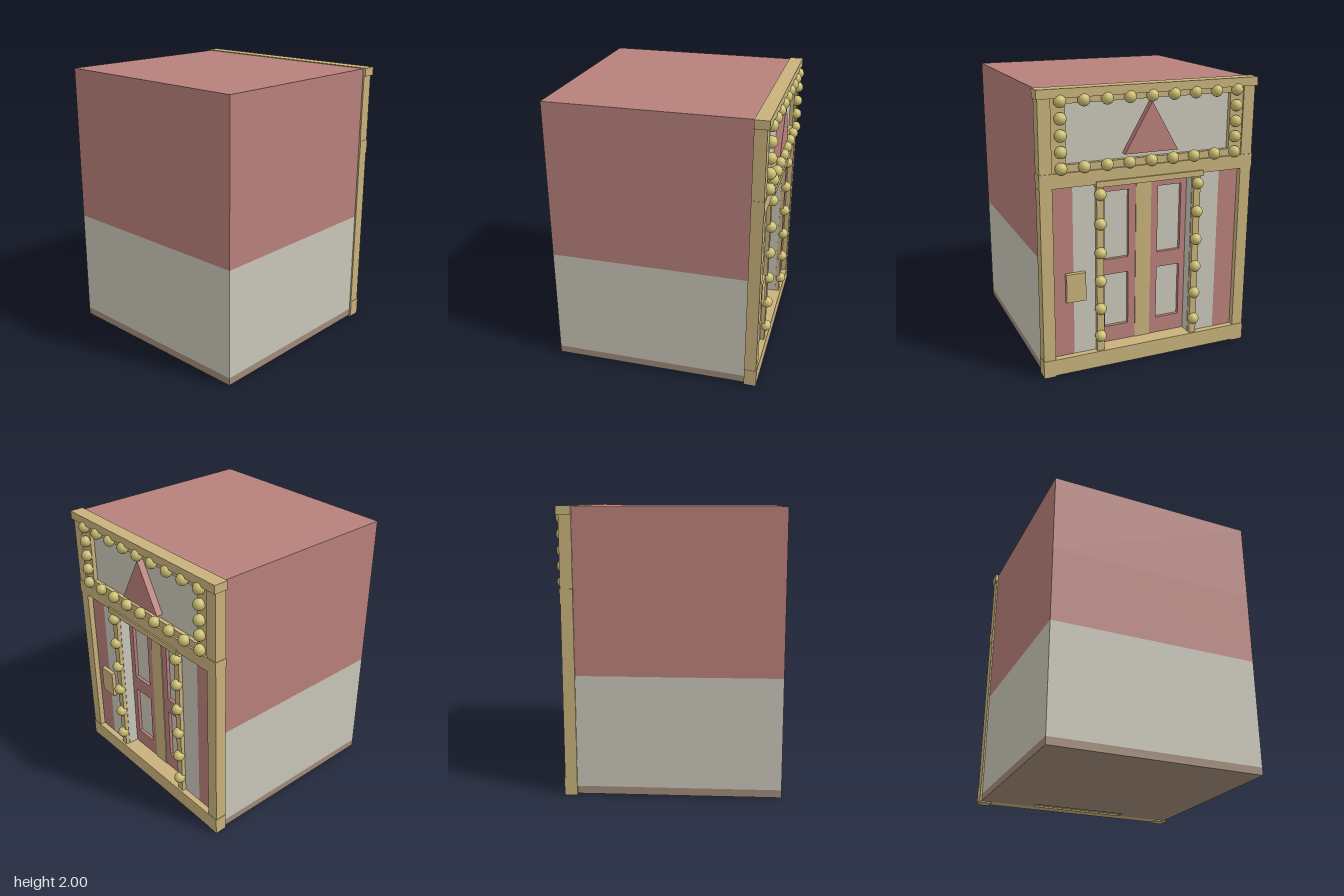
import * as THREE from 'three';

const mat = (name, color) => {
  const m = new THREE.MeshStandardMaterial({ color });
  m.name = name;
  return m;
};

export function createModel() {
  const model = new THREE.Group();
  model.name = 'elevator';
  const pink = mat('dusty pink', 0xb8807b);
  const cream = mat('cream', 0xc9c6b8);
  const gold = mat('brass', 0xc8b27c);
  const bulbGold = mat('bulb yellow', 0xcbbe72);
  const brown = mat('skirting brown', 0xa08b79);

  const add = (name, geo, material, parent = model) => {
    const m = new THREE.Mesh(geo, material);
    m.name = name;
    parent.add(m);
    return m;
  };
  // Box given by its extents on each axis
  const box = (name, material, x0, x1, y0, y1, z0, z1, parent) => {
    const g = new THREE.BoxGeometry(x1 - x0, y1 - y0, z1 - z0);
    g.translate((x0 + x1) / 2, (y0 + y1) / 2, (z0 + z1) / 2);
    return add(name, g, material, parent);
  };
  const rect = (Type, x0, x1, y0, y1) => {
    const p = new Type();
    p.moveTo(x0, y0);
    p.lineTo(x1, y0);
    p.lineTo(x1, y1);
    p.lineTo(x0, y1);
    p.closePath();
    return p;
  };

  // Cabin: stacked colour bands with a doorway notch at the back
  const cabin = new THREE.Group();
  cabin.name = 'cabin';
  model.add(cabin);
  const W = 0.775, BACK = 0.645, NOTCH = 0.36, DEEP = 0.58;
  const plan = new THREE.Shape([
    [-W, -W], [W, -W], [W, BACK], [NOTCH, BACK], [NOTCH, DEEP],
    [-NOTCH, DEEP], [-NOTCH, BACK], [-W, BACK],
  ].map(([x, y]) => new THREE.Vector2(x, y)));
  const band = (name, material, y0, y1) => {
    const g = new THREE.ExtrudeGeometry(plan, { depth: y1 - y0, bevelEnabled: false });
    g.rotateX(-Math.PI / 2).translate(0, y0, 0);
    add(name, g, material, cabin);
  };
  band('skirting', brown, 0.01, 0.065);
  band('lowerWall', cream, 0.065, 0.855);
  band('upperWall', pink, 0.855, 1.4);
  box('topWall', pink, -W, W, 1.4, 1.995, -BACK, W, cabin);

  // Brass frame around the entrance
  box('cornice', gold, -0.797, 0.797, 1.94, 2, -0.745, -0.645);
  box('middleBeam', gold, -0.789, 0.789, 1.355, 1.455, -0.734, -0.645);
  box('bottomBeam', gold, -0.789, 0.789, 0.01, 0.13, -0.734, -0.645);
  box('threshold', gold, -0.36, 0.36, 0.02, 0.13, -0.7, -0.575);
  box('lintel', gold, -0.36, 0.36, 1.35, 1.45, -0.7, -0.575);
  box('doorHood', gold, -0.4, 0.4, 1.335, 1.375, -0.745, -0.66);

  // Parts mirrored on both sides of the doorway
  for (const s of [-1, 1]) {
    const side = s > 0 ? 'left' : 'right';
    const mbox = (name, material, a, b, y0, y1, z0, z1) =>
      box(side + name, material, Math.min(s * a, s * b), Math.max(s * a, s * b), y0, y1, z0, z1);
    mbox('Post', gold, 0.7, 0.786, 0, 1.94, -0.73, -0.645);
    mbox('OuterPanel', pink, 0.55, 0.7, 0.13, 1.355, -0.69, -0.645);
    mbox('InnerPanel', cream, 0.335, 0.55, 0.13, 1.355, -0.69, -0.575);
    mbox('DoorTrim', gold, 0.338, 0.39, 0.13, 1.355, -0.72, -0.67);
    mbox('SignEdge', gold, 0.6, 0.7, 1.455, 1.94, -0.72, -0.645);

    // Door leaf with two sunken panels
    const lo = Math.min(s * 0.055, s * 0.335), hi = Math.max(s * 0.055, s * 0.335);
    const leaf = rect(THREE.Shape, lo, hi, 0.13, 1.355);
    const p0 = Math.min(s * 0.112, s * 0.292), p1 = Math.max(s * 0.112, s * 0.292);
    for (const [y0, y1] of [[0.25, 0.65], [0.765, 1.26]])
      leaf.holes.push(rect(THREE.Path, p0, p1, y0, y1));
    const g = new THREE.ExtrudeGeometry(leaf, { depth: 0.03, bevelEnabled: false });
    add(side + 'DoorLeaf', g.translate(0, 0, -0.615), pink);
    mbox('DoorInset', cream, 0.06, 0.33, 0.14, 1.34, -0.59, -0.575);
  }
  box('doorCentreStrip', gold, -0.058, 0.058, 0.13, 1.355, -0.62, -0.575);
  box('buttonPlate', gold, 0.47, 0.61, 0.535, 0.74, -0.72, -0.68);

  // Sign above the door
  box('signPanel', cream, -0.6, 0.6, 1.455, 1.94, -0.69, -0.645);
  box('signTopEdge', gold, -0.6, 0.6, 1.9, 1.94, -0.72, -0.645);
  box('signBottomEdge', gold, -0.6, 0.6, 1.455, 1.505, -0.72, -0.645);
  const tri = new THREE.Shape([[-0.195, 1.54], [0.195, 1.54], [0, 1.88]]
    .map(([x, y]) => new THREE.Vector2(x, y)));
  const triGeo = new THREE.ExtrudeGeometry(tri, { depth: 0.05, bevelEnabled: false });
  add('signTriangle', triGeo.translate(0, 0, -0.738), pink);

  // Round bulbs along the sign and the door trim
  const bulbs = new THREE.Group();
  bulbs.name = 'bulbs';
  model.add(bulbs);
  const bulbGeo = new THREE.SphereGeometry(0.041, 20, 14);
  const bulb = (x, y, z) => add('bulb', bulbGeo, bulbGold, bulbs).position.set(x, y, z);
  for (let i = -4; i <= 4; i++)
    for (const y of [1.92, 1.485]) bulb(i * 0.16, y, -0.737);
  for (const s of [-1, 1]) {
    for (const y of [1.81, 1.7, 1.593]) bulb(s * 0.64, y, -0.737);
    for (let i = 0; i < 6; i++) bulb(s * 0.365, 1.28 - i * 0.207, -0.724);
  }
  return model;
}
